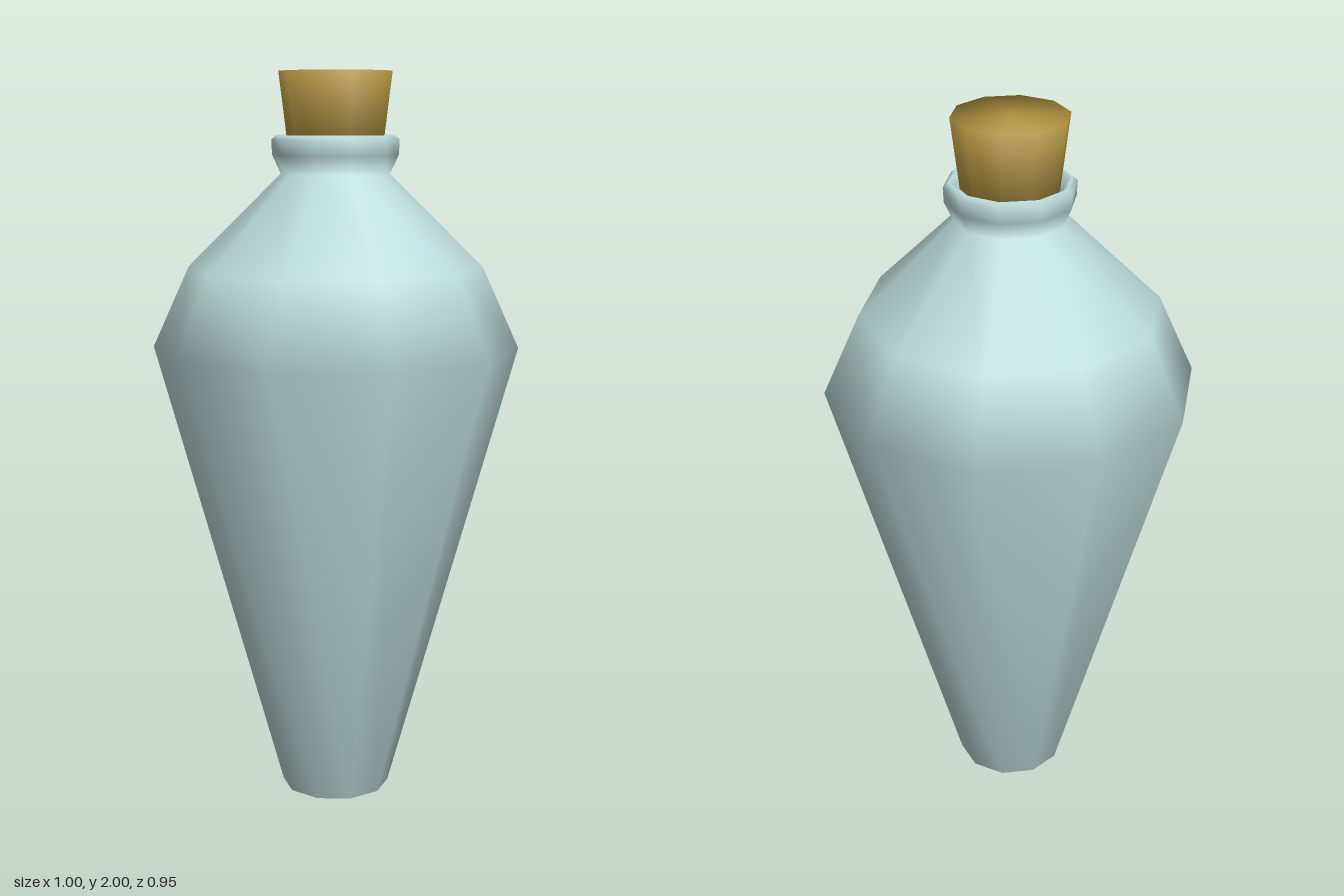
import * as THREE from 'three';

const SIDES = 10;

// Revolve a [radius, height] profile, bottom to top, with a corner on the x axis
function turned(name, profile, material) {
  const points = profile.map(([r, y]) => new THREE.Vector2(r, y));
  const mesh = new THREE.Mesh(new THREE.LatheGeometry(points, SIDES, Math.PI / 2), material);
  mesh.name = name;
  return mesh;
}

export function createModel() {
  const glass = new THREE.MeshStandardMaterial({ name: 'pale glass', color: 0xbcdcda });
  const corkBrown = new THREE.MeshStandardMaterial({ name: 'cork brown', color: 0xb0923f });
  const model = new THREE.Group();
  model.name = 'corkedBottle';

  // Tapered bottle: dimpled base, shoulder, neck and rolled lip
  model.add(turned('bottle', [
    [0, 0.05], [0.15, 0],
    [0.5, 1.26], [0.4, 1.48], [0.147, 1.73],
    [0.17, 1.78], [0.172, 1.82], [0.158, 1.833],
    [0.142, 1.825], [0.125, 1.79],
  ], glass));

  // Stopper, widening upwards
  model.add(turned('cork', [
    [0, 1.78], [0.125, 1.78], [0.152, 2], [0, 2],
  ], corkBrown));

  return model;
}
